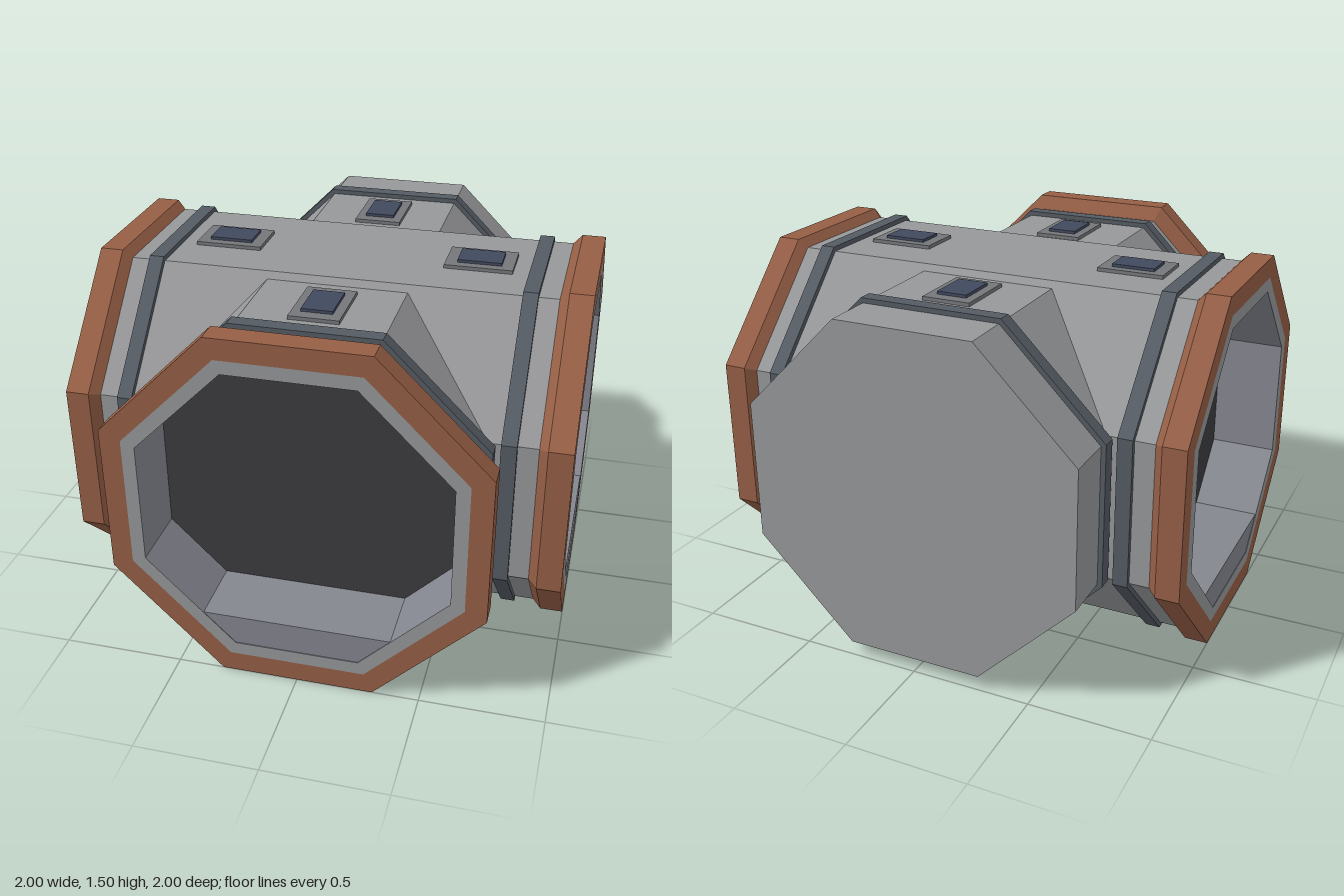
import * as THREE from 'three';

const COLORS = {
  hull: 0x969799, rim: 0x955e45, collar: 0x545b63, plate: 0x75777a,
  glass: 0x40495e, wall: 0x84868f, bulkhead: 0x3c3c40,
};
const mats = {};
for (const key in COLORS) {
  mats[key] = new THREE.MeshStandardMaterial({ color: COLORS[key], flatShading: true });
}

const CENTER_Y = 0.75;
const X_TUBE = 0.715; // apothem of the left-right tube
const Z_TUBE = 0.69;  // apothem of the front-back tube

function add(parent, name, geometry, mat) {
  const mesh = new THREE.Mesh(geometry, mats[mat]);
  mesh.name = name;
  parent.add(mesh);
  return mesh;
}

// Octagonal turned shape along z, from [apothem, z] pairs, flats facing up and sideways
function octagon(profile) {
  const points = profile.map(([a, z]) => new THREE.Vector2(a / Math.cos(Math.PI / 8), z));
  return new THREE.LatheGeometry(points, 8, Math.PI / 8).rotateX(Math.PI / 2);
}

// Collar, ceiling lamp and (optionally) docking port of one arm, which points along local +z
function makeArm(name, angle, apothem, hasPort) {
  const arm = new THREE.Group();
  arm.name = name;
  arm.rotation.y = angle;

  const c = apothem + 0.02;
  add(arm, 'collar', octagon([[apothem - 0.02, 0.73], [c, 0.73], [c, 0.79], [apothem - 0.02, 0.79]]), 'collar');

  // Lamp on the roof: plate with a dark pane
  add(arm, 'lampPlate', new THREE.BoxGeometry(0.2, 0.03, 0.278), 'plate').position.set(0, apothem, 0.525);
  add(arm, 'lampPane', new THREE.BoxGeometry(0.125, 0.03, 0.18), 'glass').position.set(0, apothem + 0.012, 0.525);

  if (hasPort) {
    add(arm, 'portRim', octagon([[apothem, 0.87], [0.75, 0.905], [0.75, 1], [0.665, 1]]), 'rim');
    add(arm, 'portInnerRing', octagon([[0.665, 1], [0.61, 1]]), 'hull');
    add(arm, 'portWalls', octagon([[0.61, 1], [0.61, 0.72]]), 'wall');
    add(arm, 'portBulkhead', octagon([[0.61, 0.72], [0, 0.72]]), 'bulkhead');

    // Raised floor filling the bottom of the recess
    const floor = new THREE.Shape([
      new THREE.Vector2(-0.252, -0.609), new THREE.Vector2(0.252, -0.609),
      new THREE.Vector2(0.382, -0.48), new THREE.Vector2(-0.382, -0.48),
    ]);
    const slab = new THREE.ExtrudeGeometry(floor, { depth: 0.278, bevelEnabled: false });
    add(arm, 'portFloor', slab.translate(0, 0, 0.72), 'wall');
  }
  return arm;
}

export function createModel() {
  const model = new THREE.Group();
  model.name = 'corridorJunction';
  const body = new THREE.Group();
  body.name = 'body';
  body.position.y = CENTER_Y;
  model.add(body);

  // Two crossing hull tubes; the rear end is closed by a flat cap
  add(body, 'crossTube', octagon([[X_TUBE, -0.88], [X_TUBE, 0.88]]).rotateY(Math.PI / 2), 'hull');
  add(body, 'mainTube', octagon([[0, -1], [Z_TUBE, -1], [Z_TUBE, 0.88]]), 'hull');

  body.add(makeArm('frontArm', 0, Z_TUBE, true));
  body.add(makeArm('backArm', Math.PI, Z_TUBE, false));
  body.add(makeArm('leftArm', Math.PI / 2, X_TUBE, true));
  body.add(makeArm('rightArm', -Math.PI / 2, X_TUBE, true));
  return model;
}
